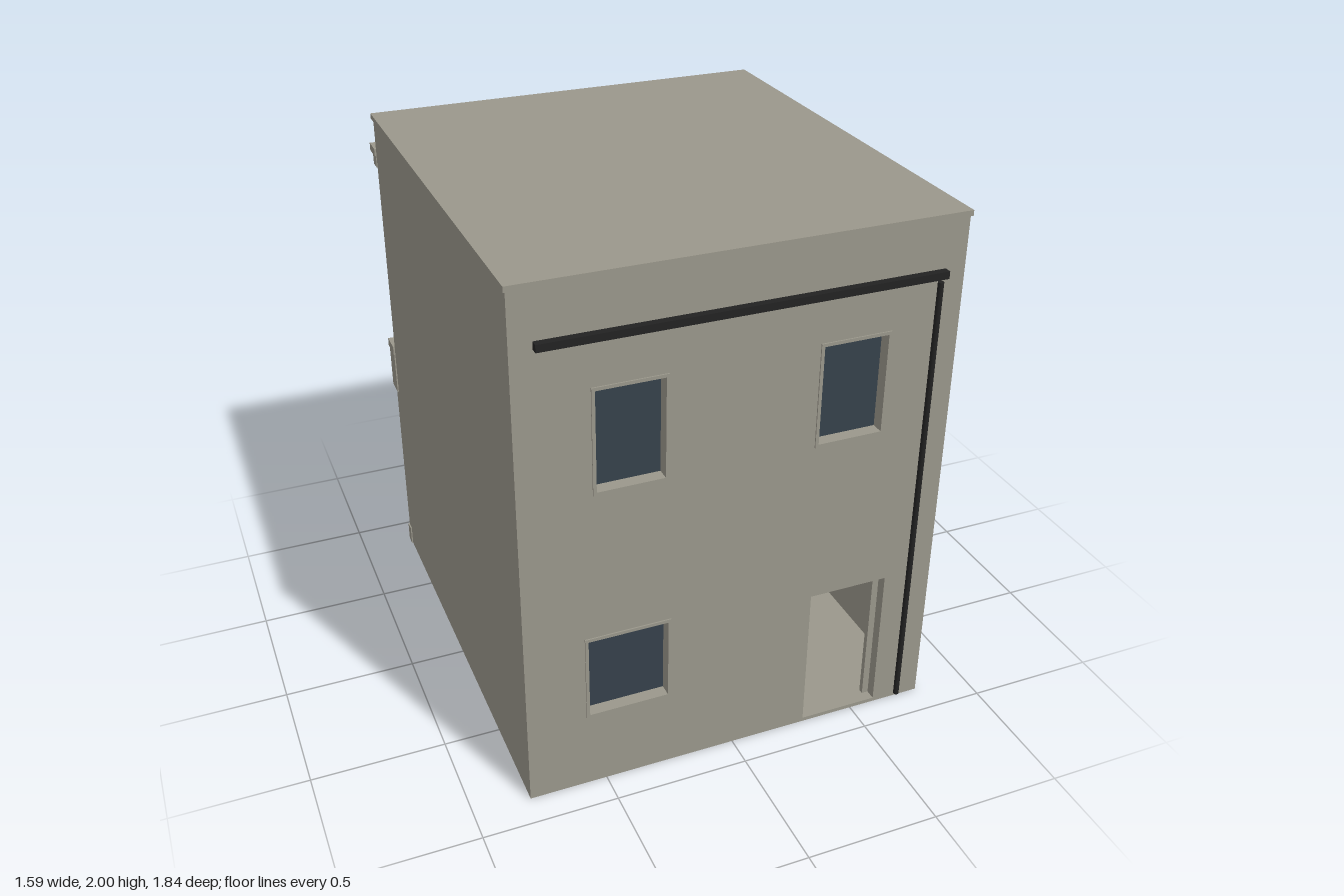
import * as THREE from 'three';

export function createModel() {
  const model = new THREE.Group();
  model.name = 'shopBuilding';
  const mat = (name, color) => {
    const m = new THREE.MeshStandardMaterial({ color });
    m.name = name;
    return m;
  };
  const stone = mat('stone', 0x9a978b);
  const glass = mat('glass', 0x36414b);
  const iron = mat('iron', 0x222222);

  const add = (name, geometry, material) => {
    const mesh = new THREE.Mesh(geometry, material);
    mesh.name = name;
    model.add(mesh);
    return mesh;
  };
  // Box given by its limits on each axis
  const box = (name, x0, x1, y0, y1, z0, z1, material = stone) => {
    const mesh = add(name, new THREE.BoxGeometry(x1 - x0, y1 - y0, z1 - z0), material);
    mesh.position.set((x0 + x1) / 2, (y0 + y1) / 2, (z0 + z1) / 2);
    return mesh;
  };
  const trace = (path, [x0, x1, y0, y1]) =>
    path.moveTo(x0, y0).lineTo(x1, y0).lineTo(x1, y1).lineTo(x0, y1).closePath();
  // Flat panel with rectangular openings
  const panel = (name, outer, openings, z0, z1) => {
    const shape = trace(new THREE.Shape(), outer);
    openings.forEach((o) => shape.holes.push(trace(new THREE.Path(), o)));
    const geometry = new THREE.ExtrudeGeometry(shape, { depth: z1 - z0, bevelEnabled: false });
    geometry.translate(0, 0, z0);
    return add(name, geometry, stone);
  };
  const grow = ([x0, x1, y0, y1], d) => [x0 - d, x1 + d, y0 - d, y1 + d];
  const mirror = ([x0, x1, y0, y1]) => [-x1, -x0, y0, y1];

  const W = 0.79, F = 0.885, B = -0.83, T = 0.05;

  // Hollow shell
  for (const s of [-1, 1]) {
    const x = s * (W - 0.01);
    box('sideWall', x - 0.01, x + 0.01, 0, 1.98, B + T, F - T);
  }
  box('floor', -W + 0.02, W - 0.02, 0, 0.012, B + T, F - T);
  box('roof', -0.797, 0.797, 1.98, 2, -0.84, 0.89);

  // Front wall with three windows and an open doorway
  const frontUpper = [0.28, 0.52, 1.23, 1.6];
  const frontWindows = [frontUpper, mirror(frontUpper), [-0.56, -0.265, 0.315, 0.635]];
  const frontDoor = [0.295, 0.6, 0.015, 0.585];
  panel('frontWall', [-W, W, 0, 1.98], [...frontWindows, frontDoor], F - T, F);
  for (const o of frontWindows) {
    panel('frontWindowFrame', grow(o, 0.012), [o], F, F + 0.005);
    box('frontWindowGlass', ...o, F - T, F - T + 0.008, glass);
  }
  for (const [x0, x1] of [[0.295, 0.312], [0.575, 0.6]])
    box('frontDoorJamb', x0, x1, 0.015, 0.585, F - T - 0.01, F - T + 0.01);

  // Gutter and downpipe
  box('gutter', -0.715, 0.71, 1.783, 1.81, 0.893, 0.92, iron);
  const pipe = add('downpipe', new THREE.CylinderGeometry(0.011, 0.011, 1.745, 10), iron);
  pipe.position.set(0.695, 0.8925, 0.897);

  // Shopfront wall at the back
  const upper = [0.28, 0.52, 1.25, 1.63];
  const shop = [0.19, 0.68, 0.165, 0.775];
  const uppers = [upper, mirror(upper)], shops = [shop, mirror(shop)];
  const transom = [-0.14, 0.14, 0.7, 0.775];
  const backDoor = [-0.14, 0.14, 0.03, 0.66];
  panel('backWall', [-W, W, 0, 1.98], [...uppers, ...shops, transom, backDoor], B, B + T);
  for (const o of uppers) {
    panel('backWindowFrame', grow(o, 0.018), [o], B - 0.01, B);
    box('backWindowGlass', ...o, B + T - 0.008, B + T, glass);
  }
  for (const o of shops) {
    box('shopGlass', ...o, B + T - 0.008, B + T, glass);
    box('shopSill', o[0], o[1], 0.15, 0.168, B - 0.012, B + 0.02);
  }

  // Shop door: two panes, transom light, jambs and head
  box('transomGlass', ...transom, B + T - 0.008, B + T, glass);
  for (const s of [-1, 1]) {
    const x = s * 0.072;
    box('doorPane', x - 0.055, x + 0.055, 0.33, 0.65, B + T - 0.008, B + T, glass);
    box('doorJamb', s * 0.16 - 0.018, s * 0.16 + 0.018, 0, 0.78, B - 0.012, B);
  }
  box('doorHead', -0.142, 0.142, 0.66, 0.69, B - 0.012, B + 0.01);

  // Pilasters with plinths and consoles
  for (const s of [-1, 1]) {
    const post = (name, x0, x1, y0, y1, z0) =>
      s > 0 ? box(name, x0, x1, y0, y1, z0, B) : box(name, -x1, -x0, y0, y1, z0, B);
    post('pilaster', 0.69, W, 0.08, 0.78, -0.866);
    post('plinth', 0.682, 0.795, 0, 0.08, -0.873);
    post('console', 0.685, 0.795, 0.78, 0.96, -0.91);
  }

  // Fascia and cornices
  box('fascia', -0.685, 0.685, 0.78, 0.96, -0.868, B);
  box('shopCornice', -0.797, 0.797, 0.96, 0.995, -0.92, B);
  box('lowerRoofCornice', -0.793, 0.793, 1.783, 1.83, -0.882, B);
  box('upperRoofCornice', -0.797, 0.797, 1.83, 1.86, -0.91, B);

  return model;
}
